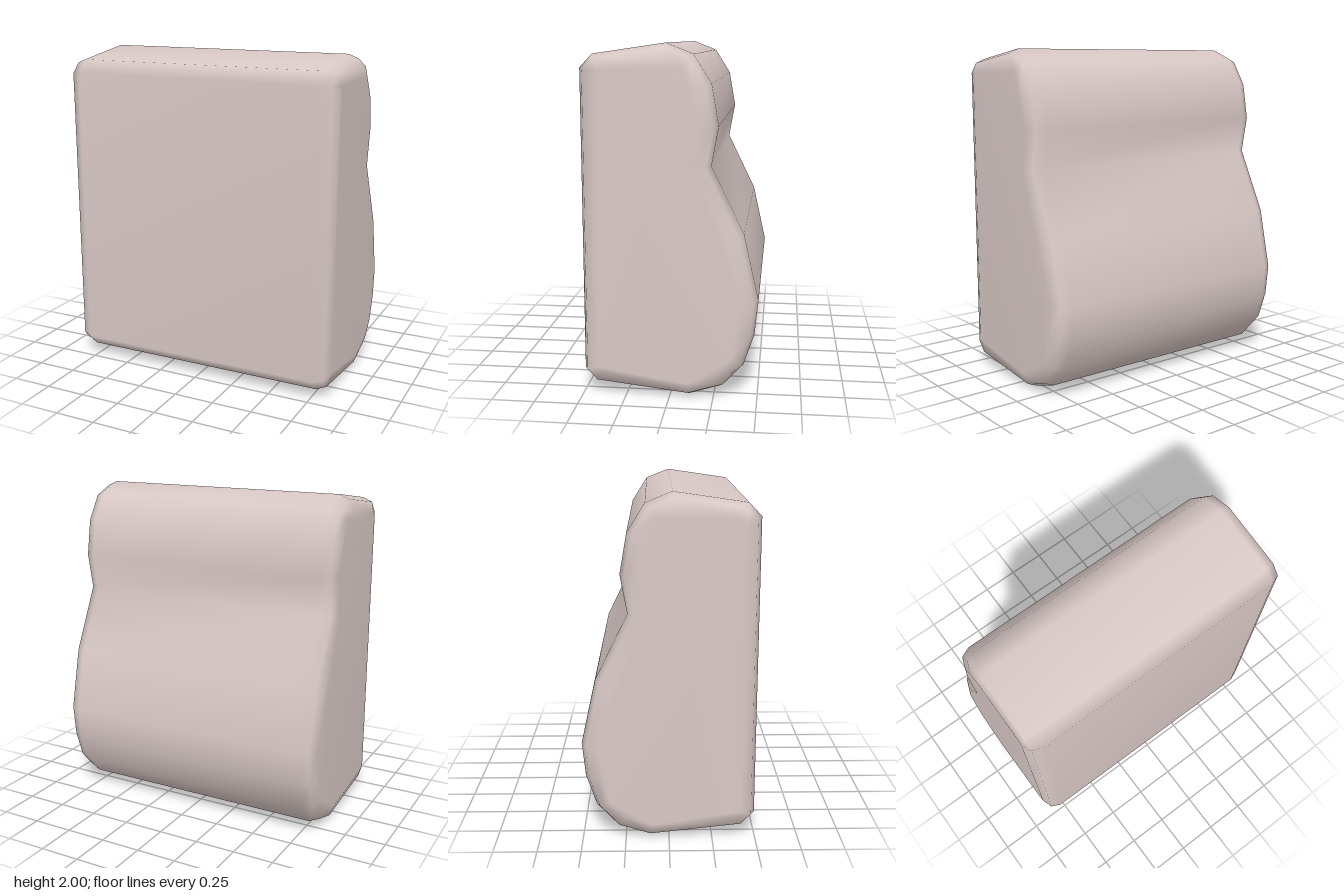
import * as THREE from 'three';

// Side profile as [z, y], going up the flat front and down the curved back
const PROFILE = [
  [0.5, 0.135], [0.5, 1.865], [0.43, 1.94], [0.02, 2], [-0.13, 1.94],
  [-0.23, 1.78], [-0.27, 1.55], [-0.23, 1.33], [-0.415, 0.95], [-0.5, 0.57],
  [-0.48, 0.37], [-0.42, 0.19], [-0.3, 0.06], [-0.11, 0], [0.43, 0.06],
].map(([z, y]) => new THREE.Vector2(z, y));

// Rounded side edges as [x, inset of the profile]
const EDGE = [[0.865, 0.09], [0.84, 0.025], [0.78, 0]];
const RINGS = [...EDGE.map(([x, d]) => [-x, d]), ...[...EDGE].reverse()];

// Moves every side of the profile inward by the same distance
function inset(points, distance) {
  const n = points.length;
  const normal = (a, b) => new THREE.Vector2(a.y - b.y, b.x - a.x).normalize();
  return points.map((p, i) => {
    const n1 = normal(points[(i + n - 1) % n], p);
    const n2 = normal(p, points[(i + 1) % n]);
    const miter = n1.clone().add(n2).divideScalar(1 + n1.dot(n2));
    return p.clone().addScaledVector(miter, distance);
  });
}

function bodyGeometry() {
  const n = PROFILE.length;
  const positions = [];
  const index = [];
  for (const [x, d] of RINGS) {
    for (const p of inset(PROFILE, d)) positions.push(x, p.y, p.x);
  }

  // Skin between neighbouring rings
  for (let r = 0; r < RINGS.length - 1; r++) {
    for (let i = 0; i < n; i++) {
      const j = (i + 1) % n;
      const a = r * n + i, b = r * n + j, c = b + n, d = a + n;
      index.push(a, d, c, a, c, b);
    }
  }

  // Flat end caps, each turned outward
  const outline = inset(PROFILE, EDGE[0][1]);
  const last = (RINGS.length - 1) * n;
  for (const tri of THREE.ShapeUtils.triangulateShape(outline, [])) {
    const facesLeft = THREE.ShapeUtils.area(tri.map((k) => outline[k])) < 0;
    const [a, b, c] = facesLeft ? tri : [tri[0], tri[2], tri[1]];
    index.push(last + a, last + b, last + c, a, c, b);
  }

  const geometry = new THREE.BufferGeometry();
  geometry.setAttribute('position', new THREE.Float32BufferAttribute(positions, 3));
  geometry.setIndex(index);
  geometry.computeVertexNormals();
  return geometry;
}

export function createModel() {
  const material = new THREE.MeshStandardMaterial({ color: 0xd8c8c5 });
  material.name = 'pale rose grey';

  const body = new THREE.Mesh(bodyGeometry(), material);
  body.name = 'cushionBody';

  const model = new THREE.Group();
  model.name = 'backCushion';
  model.add(body);
  return model;
}
